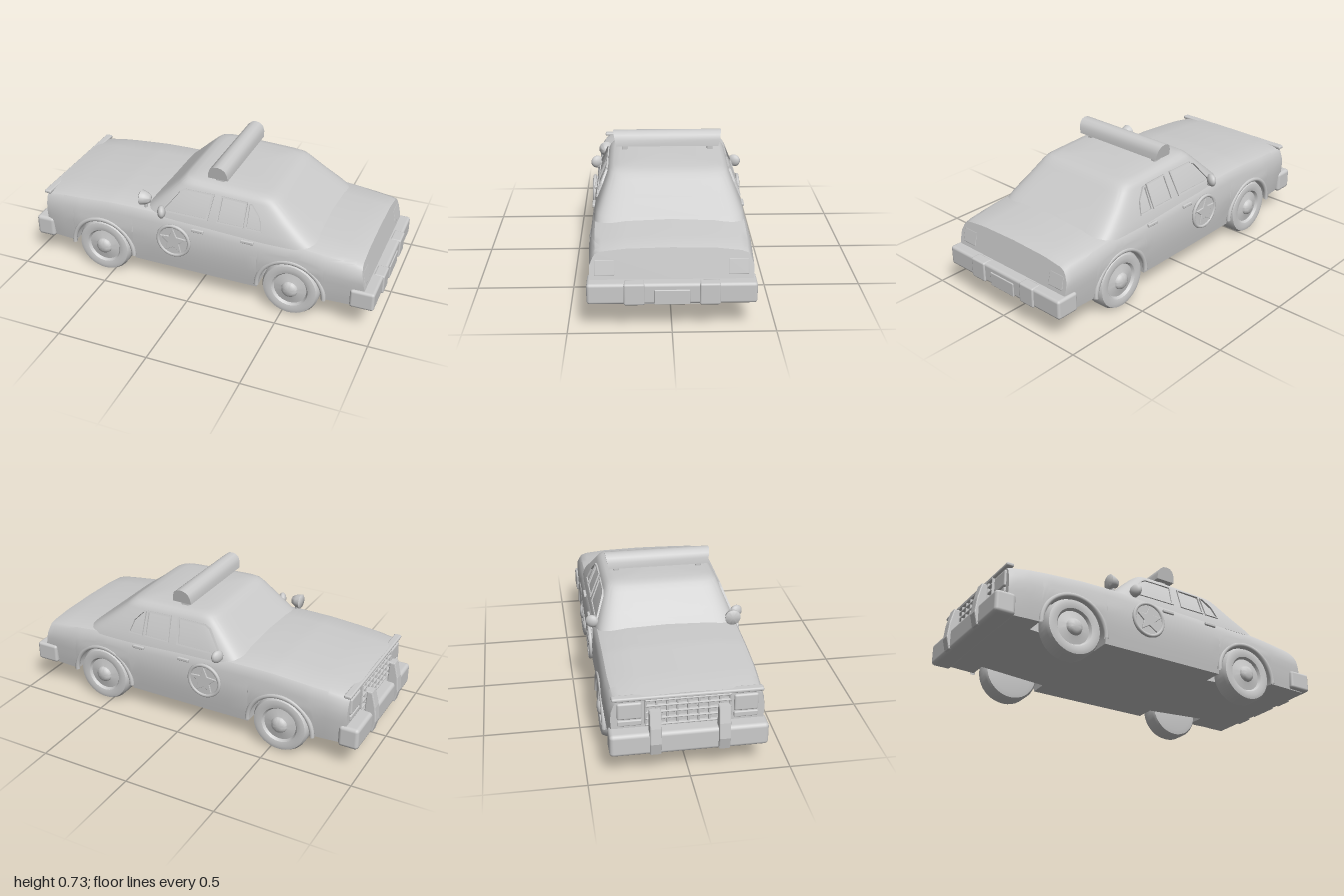
import * as THREE from 'three';
import { toCreasedNormals } from 'three/addons/utils/BufferGeometryUtils.js';
import { RoundedBoxGeometry } from 'three/addons/geometries/RoundedBoxGeometry.js';

const mat = new THREE.MeshStandardMaterial({ color: 0xcccccc, side: THREE.DoubleSide });

function add(parent, name, geo, x = 0, y = 0, z = 0) {
  const m = new THREE.Mesh(geo, mat);
  m.name = name;
  m.position.set(x, y, z);
  parent.add(m);
  return m;
}
const box = (w, h, d, r = 0.01) => new RoundedBoxGeometry(w, h, d, 2, r);

// Piecewise linear lookup over [position, value] pairs
function lookup(pairs, x) {
  for (let i = 1; i < pairs.length; i++) {
    const [x0, v0] = pairs[i - 1], [x1, v1] = pairs[i];
    if (x <= x1) return v0 + (v1 - v0) * Math.max(0, (x - x0) / (x1 - x0));
  }
  return pairs[pairs.length - 1][1];
}

// Closed rings joined into a capped solid
function loft(rings, crease) {
  const n = rings[0].length, pos = rings.flat(2), idx = [];
  rings.slice(1).forEach((_, i) => {
    for (let j = 0; j < n; j++) {
      const k = (j + 1) % n, a = i * n, b = a + n;
      idx.push(a + j, b + j, b + k, a + j, b + k, a + k);
    }
  });
  [0, rings.length - 1].forEach((r) => {
    const c = pos.length / 3;
    for (let k = 0; k < 3; k++) pos.push(rings[r].reduce((s, p) => s + p[k], 0) / n);
    for (let j = 0; j < n; j++) {
      const a = r * n + j, b = r * n + (j + 1) % n;
      idx.push(c, r ? b : a, r ? a : b);
    }
  });
  const g = new THREE.BufferGeometry();
  g.setAttribute('position', new THREE.Float32BufferAttribute(pos, 3));
  g.setIndex(idx);
  return toCreasedNormals(g, crease);
}

function polygon(points) {
  return new THREE.Shape(points.map(([x, y]) => new THREE.Vector2(x, y)));
}
function extrude(shape, depth, bevel = 0) {
  const g = new THREE.ExtrudeGeometry(shape, {
    depth, curveSegments: 16, bevelEnabled: bevel > 0, bevelSize: bevel, bevelThickness: bevel, bevelSegments: 2,
  });
  return g.translate(0, 0, -depth / 2);
}

const WHEELS = [-0.55, 0.54], ARCH_Y = 0.14, ARCH_R = 0.185;

// Lower body: cross-sections along x, with wheel wells cut into the flanks
function bodyGeometry() {
  const top = [[-0.91, 0.425], [-0.8, 0.44], [-0.5, 0.462], [-0.3, 0.465], [0.6, 0.438], [0.86, 0.412], [0.9, 0.4]];
  const width = [[-0.91, 0.368], [-0.87, 0.378], [-0.7, 0.388], [0, 0.393], [0.7, 0.393], [0.9, 0.383]];
  const floorY = [[-0.74, 0.14], [-0.36, 0.115], [0.35, 0.115], [0.73, 0.14]];
  const flank = [[0.11, -0.012], [0.2, 0.002], [0.3, 0.01], [0.36, 0.003], [0.4, -0.004]];
  const xs = [-0.91, -0.88, -0.8, -0.25, -0.1, 0.05, 0.2, 0.3, 0.8, 0.87, 0.9];
  WHEELS.forEach((c) => {
    for (let i = 0; i <= 20; i++) xs.push(c - ARCH_R * Math.cos((i / 20) * Math.PI));
    xs.push(c - ARCH_R - 0.001, c + ARCH_R + 0.001);
  });
  xs.sort((a, b) => a - b);
  const rings = xs.map((x) => {
    const t = lookup(top, x), w = lookup(width, x), f = lookup(floorY, x);
    let sill = f;
    WHEELS.forEach((c) => {
      const d = ARCH_R ** 2 - (x - c) ** 2;
      if (d > -1e-9) sill = ARCH_Y + Math.sqrt(Math.max(0, d));
    });
    const half = [[0, f - 0.008], [0.2, f - 0.008], [0.275, f], [0.275, sill]];
    for (let i = 0; i <= 5; i++) {
      const y = sill + ((t - 0.08 - sill) * i) / 5;
      half.push([w + lookup(flank, y), y]);
    }
    half.push([w - 0.008, t - 0.045], [w - 0.02, t - 0.028], [w - 0.05, t - 0.017], [0.22, t - 0.005], [0, t]);
    const other = half.slice(1, -1).reverse().map(([z, y]) => [-z, y]);
    // The tail leans outward toward the bumper
    return [...half, ...other].map(([z, y]) => [x + Math.max(0, x - 0.75) * (0.42 - y) * 1.4, y, z]);
  });
  return loft(rings, 0.6);
}

// Cabin: rounded rectangles stacked in y, the roof sloping to the rear
function cabinGeometry() {
  const levels = [ // y, front x, rear x, half width
    [0.4, -0.36, 0.68, 0.385], [0.45, -0.3, 0.625, 0.375], [0.525, -0.222, 0.535, 0.345], [0.6, -0.142, 0.45, 0.315],
    [0.62, -0.12, 0.425, 0.303], [0.632, -0.1, 0.4, 0.285], [0.638, -0.06, 0.36, 0.25], [0.643, 0, 0.28, 0.15],
  ];
  const pow = (v) => Math.sign(v) * Math.abs(v) ** 0.22;
  return loft(levels.map(([y, x0, x1, w]) => Array.from({ length: 64 }, (_, i) => {
    const a = ((i + 0.5) / 64) * Math.PI * 2;
    const x = (x0 + x1) / 2 + ((x1 - x0) / 2) * pow(Math.cos(a));
    return [x, y - Math.max(0, x + 0.1) * 0.04 * Math.min(1, (y - 0.4) / 0.2), w * pow(Math.sin(a))];
  })), 0.5);
}

// Window surround: an outline with a smaller copy cut out
function windowFrame(points) {
  const cx = points.reduce((s, p) => s + p[0], 0) / points.length;
  const cy = points.reduce((s, p) => s + p[1], 0) / points.length;
  const shape = polygon(points);
  shape.holes.push(polygon(points.map(([x, y]) => [cx + (x - cx) * 0.9, cy + (y - cy) * 0.88])));
  return extrude(shape, 0.012);
}

function wheel(parent, x, z, side) {
  const profile = [[0, -0.055], [0.12, -0.055], [0.145, -0.05], [0.155, -0.035], [0.155, 0.035], [0.145, 0.055],
    [0.125, 0.06], [0.1, 0.054], [0.09, 0.04], [0.06, 0.046], [0.045, 0.05], [0.04, 0.062], [0.025, 0.07], [0, 0.072]];
  const g = new THREE.LatheGeometry(profile.map(([r, h]) => new THREE.Vector2(r, h)), 40);
  add(parent, 'wheel', toCreasedNormals(g, 0.7), x, 0.155, z).rotation.x = (side * Math.PI) / 2;
}

// Everything that appears on both flanks, made for +z
function flankParts(side) {
  const g = new THREE.Group();
  g.name = side > 0 ? 'leftFlank' : 'rightFlank';
  const windows = new THREE.Group();
  windows.name = 'sideWindows';
  windows.position.set(0, 0.45, 0.374);
  windows.rotation.x = -0.38;
  [[[-0.2, 0.005], [0.07, 0.005], [0.09, 0.15], [-0.08, 0.15], [-0.11, 0.135]],
    [[0.12, 0.005], [0.27, 0.005], [0.275, 0.145], [0.13, 0.15]],
    [[0.285, 0.005], [0.37, 0.005], [0.35, 0.08], [0.3, 0.14], [0.285, 0.14]]]
    .forEach((p) => add(windows, 'windowFrame', windowFrame(p)));
  g.add(windows);

  WHEELS.forEach((x) => {
    const lip = new THREE.TorusGeometry(ARCH_R, 0.013, 8, 32, Math.PI);
    add(g, 'wheelArchLip', lip, x, ARCH_Y, 0.392);
  });
  [0.02, 0.3].forEach((x) => add(g, 'doorHandle', box(0.07, 0.018, 0.016, 0.005), x, 0.39, 0.393));

  // Round door badge with a raised star
  const badge = add(g, 'doorBadge', new THREE.CylinderGeometry(0.09, 0.09, 0.02, 40), -0.115, 0.305, 0.398);
  badge.rotation.x = Math.PI / 2;
  add(g, 'badgeRim', new THREE.TorusGeometry(0.09, 0.01, 8, 40), -0.115, 0.305, 0.405);
  const star = polygon(Array.from({ length: 10 }, (_, i) => {
    const a = Math.PI / 2 + (i * Math.PI) / 5, r = i % 2 ? 0.032 : 0.074;
    return [r * Math.cos(a), r * Math.sin(a)];
  }));
  add(g, 'badgeStar', extrude(star, 0.008, 0.003), -0.115, 0.305, 0.408);

  // Mirror on a short stalk
  const mirror = add(g, 'mirror', new THREE.SphereGeometry(0.037, 14, 10), -0.187, 0.462, 0.393);
  mirror.scale.set(0.6, 0.95, 1);
  mirror.rotation.y = 0.4;
  add(g, 'mirrorStalk', box(0.025, 0.02, 0.06, 0.006), -0.185, 0.44, 0.372);

  // Front and rear lamps
  add(g, 'headlamp', box(0.03, 0.09, 0.12), -0.905, 0.345, 0.285);
  add(g, 'turnSignal', box(0.03, 0.03, 0.12, 0.006), -0.905, 0.28, 0.285);
  add(g, 'tailLamp', box(0.02, 0.08, 0.1, 0.006), 0.915, 0.305, 0.32).rotation.z = 0.22;

  // Push guard and bumper block
  const guard = polygon([[-0.9, 0.14], [-0.98, 0.14], [-0.994, 0.2], [-0.985, 0.28], [-0.965, 0.36], [-0.945, 0.36], [-0.94, 0.25], [-0.9, 0.24]]);
  add(g, 'pushGuard', extrude(guard, 0.045, 0.006), 0, 0, 0.168);
  add(g, 'rearBumperBlock', box(0.06, 0.11, 0.1), 0.97, 0.197, 0.18);
  g.scale.z = side;
  return g;
}

export function createModel() {
  const car = new THREE.Group();
  car.name = 'patrolCar';
  add(car, 'body', bodyGeometry());
  add(car, 'cabin', cabinGeometry());
  WHEELS.forEach((x) => [1, -1].forEach((s) => wheel(car, x, s * 0.34, s)));
  [1, -1].forEach((s) => car.add(flankParts(s)));

  // Bumpers and number plate
  add(car, 'frontBumper', box(0.11, 0.12, 0.78, 0.02), -0.925, 0.19, 0);
  add(car, 'rearBumper', box(0.13, 0.105, 0.81, 0.015), 0.927, 0.197, 0);
  add(car, 'rearPlate', box(0.012, 0.075, 0.17, 0.004), 0.992, 0.183, 0);

  // Grille: surround with crossing bars
  [0.265, 0.3, 0.335, 0.37, 0.4].forEach((y) => add(car, 'grilleBar', box(0.03, 0.01, 0.42, 0.004), -0.91, y, 0));
  for (let i = -4; i <= 4; i++) add(car, 'grilleSlat', box(0.026, 0.14, 0.01, 0.004), -0.91, 0.333, i * 0.0515);
  add(car, 'hoodLip', box(0.04, 0.02, 0.74, 0.008), -0.902, 0.411, 0);

  // Roof light bar: domed section, flaring toward the top
  const dome = polygon([[-0.055, 0.657], [0.055, 0.657], [0.052, 0.69], [0.042, 0.715], [0.022, 0.73], [0, 0.734],
    [-0.022, 0.73], [-0.042, 0.715], [-0.052, 0.69]]);
  const bar = extrude(dome, 0.56), p = bar.attributes.position;
  for (let i = 0; i < p.count; i++) p.setZ(i, Math.sign(p.getZ(i)) * (0.275 + (p.getY(i) - 0.657) * 0.2));
  add(car, 'lightBar', toCreasedNormals(bar, 0.7), 0.09, 0, 0);
  [1, -1].forEach((s) => add(car, 'lightBarFoot', box(0.05, 0.05, 0.03, 0.005), 0.09, 0.64, s * 0.23));

  // Spotlight beside the windshield, on the left only
  const lamp = new THREE.LatheGeometry([[0, -0.045], [0.022, -0.035], [0.036, -0.01], [0.042, 0.015], [0.036, 0.02], [0, 0.022]]
    .map(([r, h]) => new THREE.Vector2(r, h)), 20);
  add(car, 'spotlight', toCreasedNormals(lamp, 0.8), -0.31, 0.495, 0.345).rotation.z = Math.PI / 2;
  add(car, 'spotlightStalk', new THREE.CylinderGeometry(0.01, 0.01, 0.07, 8), -0.3, 0.45, 0.345);
  return car;
}
